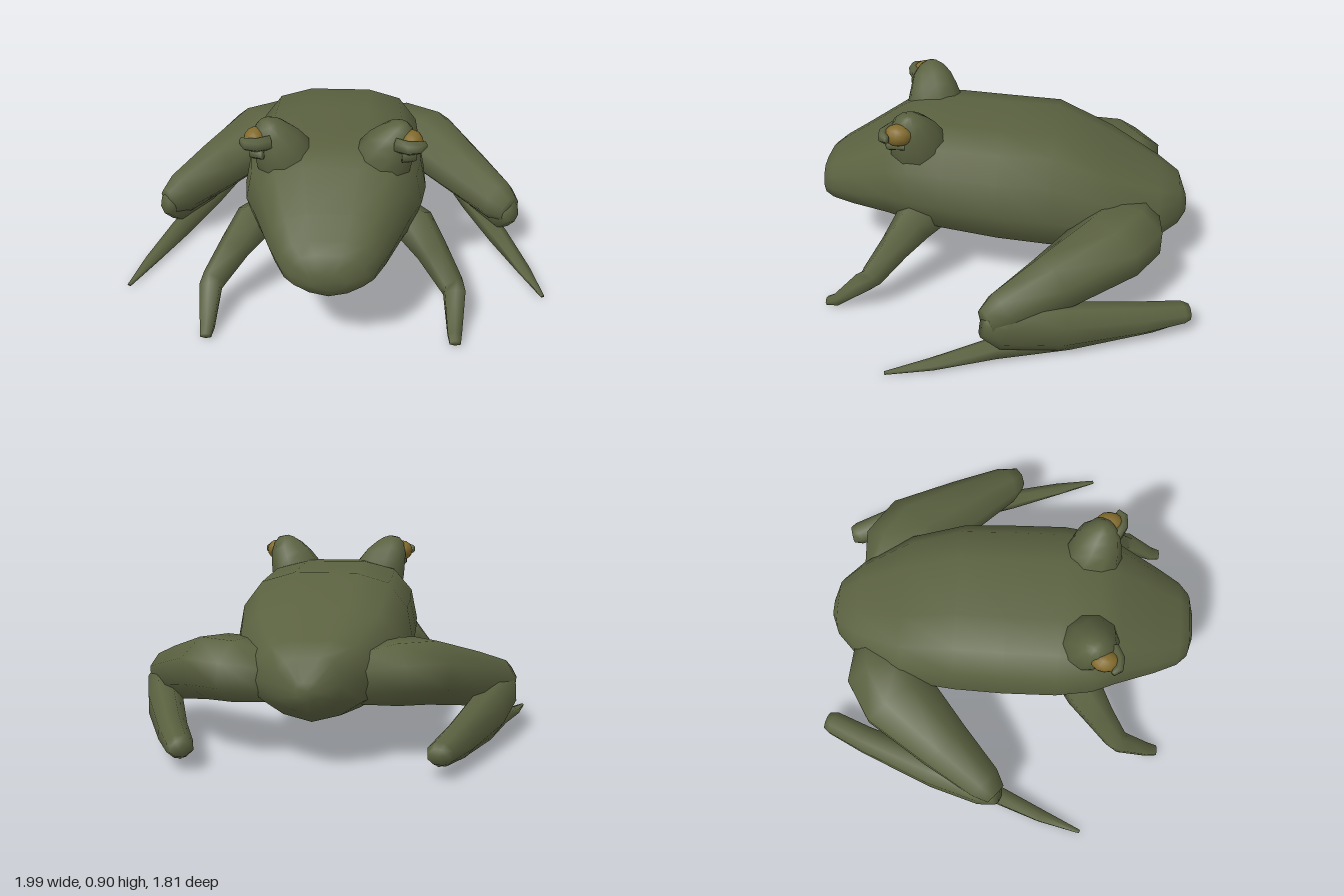
import * as THREE from 'three';

const skin = new THREE.MeshStandardMaterial({ color: 0x5a6140 });
skin.name = 'olive skin';
const gold = new THREE.MeshStandardMaterial({ color: 0x826a2c });
gold.name = 'gold eye';

const V = (x, y, z) => new THREE.Vector3(x, y, z);

// Closed surface through equal-sized rings of points, capped at both ends
function loft(name, rings) {
  const n = rings[0].length, last = rings.length - 1;
  const points = rings.flat();
  const centre = ring => ring.reduce((sum, p) => sum.add(p), V(0, 0, 0)).divideScalar(n);
  const start = points.push(centre(rings[0])) - 1;
  const end = points.push(centre(rings[last])) - 1;
  const index = [];
  for (let j = 0; j < n; j++) {
    const k = (j + 1) % n;
    for (let i = 0; i < last; i++) {
      const a = i * n + j, b = i * n + k;
      index.push(a, b, b + n, a, b + n, a + n);
    }
    index.push(start, k, j, end, last * n + j, last * n + k);
  }
  const geometry = new THREE.BufferGeometry().setFromPoints(points);
  geometry.setIndex(index);
  geometry.computeVertexNormals();
  const mesh = new THREE.Mesh(geometry, skin);
  mesh.name = name;
  return mesh;
}

// Limb along a path; each section is [x, y, z, half width, half height]
function limb(name, side, sections, sides = 8) {
  const path = sections.map(([x, y, z]) => V(x * side, y, z));
  const rings = sections.map(([, , , w, h], i) => {
    const t = path[Math.min(i + 1, path.length - 1)].clone().sub(path[Math.max(i - 1, 0)]).normalize();
    const s = V(0, 1, 0).cross(t).normalize();
    const u = t.clone().cross(s);
    return Array.from({ length: sides }, (_, j) => {
      const a = ((j + 0.5) / sides) * Math.PI * 2;
      return path[i].clone().addScaledVector(s, w * Math.cos(a)).addScaledVector(u, h * Math.sin(a));
    });
  });
  return loft(name, rings);
}

// Body and head: cross-sections from rump to snout
function body() {
  const outline = [[1, 0.5], [0.93, 0.75], [0.72, 0.93], [0.35, 1], [-0.35, 1], [-0.72, 0.93], [-0.93, 0.75],
    [-1, 0.5], [-0.9, 0.27], [-0.5, 0.09], [0, 0], [0.5, 0.09], [0.9, 0.27]];
  // [z, bottom, top, half width]
  const sections = [
    [-0.88, 0.30, 0.38, 0.05], [-0.84, 0.24, 0.48, 0.14], [-0.74, 0.185, 0.53, 0.24],
    [-0.5, 0.15, 0.645, 0.37], [-0.24, 0.135, 0.765, 0.41], [0, 0.165, 0.77, 0.42],
    [0.25, 0.21, 0.78, 0.42], [0.42, 0.24, 0.775, 0.395], [0.53, 0.255, 0.735, 0.345],
    [0.72, 0.285, 0.615, 0.265], [0.83, 0.305, 0.55, 0.21], [0.88, 0.315, 0.515, 0.16], [0.905, 0.36, 0.44, 0.08]];
  return loft('body', sections.map(([z, lo, hi, w]) =>
    outline.map(([x, t]) => V(x * w, lo + t * (hi - lo), z))));
}

function addSide(frog, side, label) {
  const group = new THREE.Group();
  group.name = label + 'Side';

  // Hind leg: thigh out to the knee, shin back to the ankle, long flat foot forwards
  group.add(limb('thigh', side, [
    [0.18, 0.36, -0.64, 0.12, 0.12], [0.32, 0.375, -0.585, 0.20, 0.145], [0.45, 0.37, -0.51, 0.195, 0.15],
    [0.65, 0.295, -0.27, 0.14, 0.135], [0.81, 0.24, -0.07, 0.095, 0.11], [0.86, 0.225, -0.01, 0.06, 0.075]]));
  group.add(limb('shin', side, [
    [0.865, 0.22, 0, 0.045, 0.06], [0.835, 0.19, -0.08, 0.075, 0.11], [0.75, 0.145, -0.32, 0.085, 0.12],
    [0.615, 0.11, -0.68, 0.068, 0.082], [0.535, 0.097, -0.86, 0.06, 0.053], [0.525, 0.095, -0.895, 0.045, 0.035]]));
  group.add(limb('hindFoot', side, [
    [0.53, 0.08, -0.88, 0.035, 0.03], [0.59, 0.065, -0.72, 0.05, 0.04], [0.72, 0.055, -0.35, 0.06, 0.055],
    [0.82, 0.05, -0.04, 0.05, 0.05], [0.92, 0.022, 0.22, 0.035, 0.02], [0.985, 0.008, 0.42, 0.01, 0.005]], 6));

  // Front leg: straight upper arm, elbow turned out, tapered hand
  group.add(limb('frontLeg', side, [
    [0.26, 0.40, 0.32, 0.10, 0.11], [0.375, 0.37, 0.40, 0.095, 0.10], [0.45, 0.285, 0.475, 0.075, 0.072],
    [0.535, 0.175, 0.57, 0.058, 0.056], [0.55, 0.15, 0.605, 0.054, 0.054],
    [0.55, 0.03, 0.745, 0.036, 0.03], [0.55, 0.018, 0.795, 0.028, 0.016]], 6));

  // Raised eye socket
  group.add(limb('eyeSocket', side, [
    [0.19, 0.62, 0.37, 0.14, 0.13], [0.225, 0.73, 0.39, 0.135, 0.13], [0.252, 0.785, 0.398, 0.117, 0.112],
    [0.278, 0.84, 0.408, 0.095, 0.085], [0.292, 0.88, 0.41, 0.06, 0.055], [0.296, 0.9, 0.41, 0.025, 0.025]], 10));

  // Eye looking outwards, with a lid across its front and a fold below
  const eye = new THREE.Mesh(new THREE.SphereGeometry(0.056, 12, 8), gold);
  eye.name = 'eye';
  eye.scale.set(0.9, 0.9, 1.15);
  eye.position.set(side * 0.338, 0.825, 0.448);
  group.add(eye);
  group.add(limb('frontLid', side, [
    [0.27, 0.825, 0.485, 0.025, 0.035], [0.325, 0.825, 0.512, 0.027, 0.033],
    [0.37, 0.828, 0.51, 0.024, 0.03], [0.395, 0.83, 0.485, 0.012, 0.018]], 6));
  group.add(limb('lowerLid', side, [
    [0.30, 0.78, 0.51, 0.018, 0.025], [0.345, 0.775, 0.49, 0.02, 0.025], [0.345, 0.77, 0.42, 0.015, 0.018]], 6));
  frog.add(group);
}

export function createModel() {
  const frog = new THREE.Group();
  frog.name = 'frog';
  frog.add(body());
  addSide(frog, 1, 'left');
  addSide(frog, -1, 'right');
  return frog;
}
